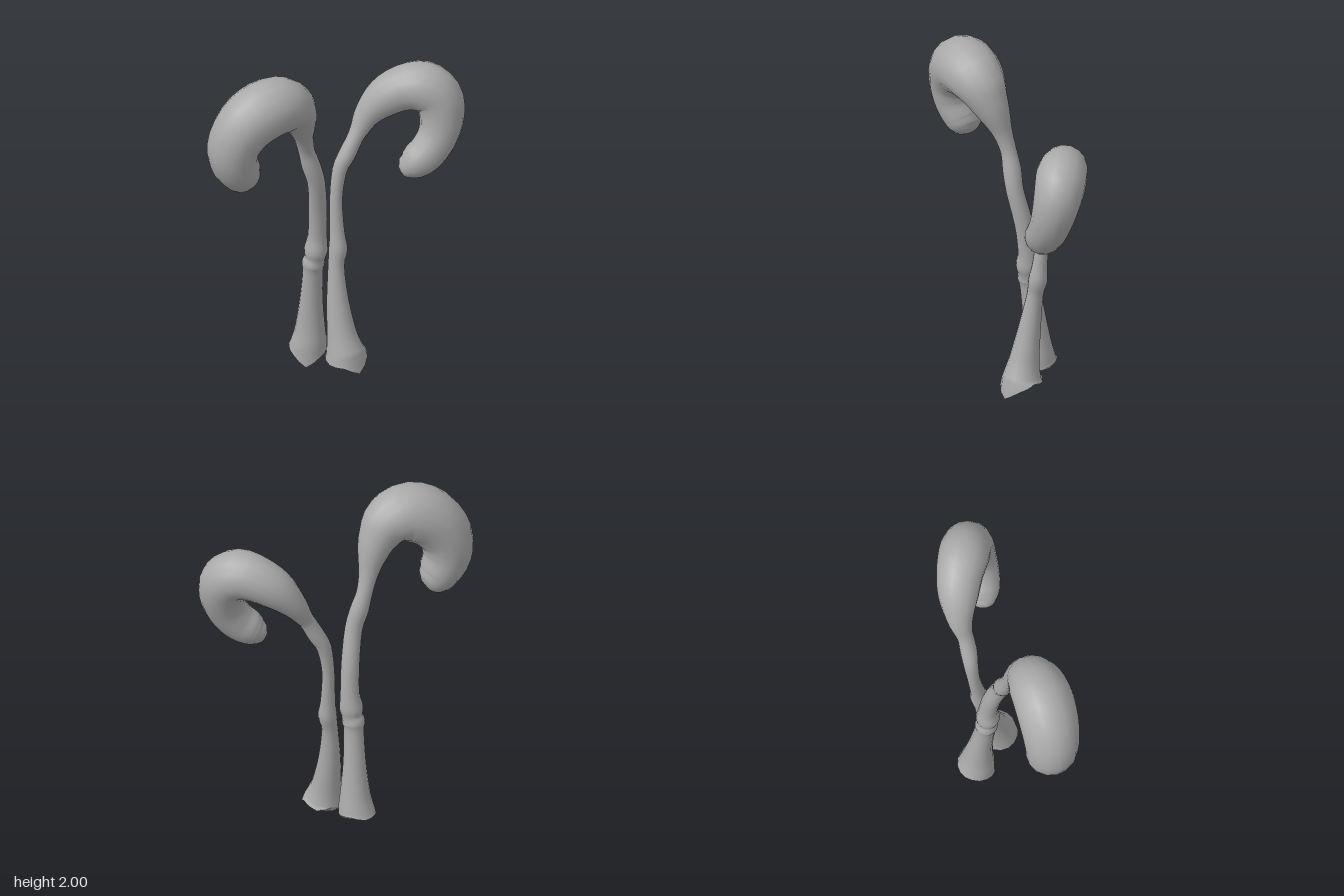
import * as THREE from 'three';

const SIDES = 16;
const STEPS = 3; // rings per control point

// Sweeps a circle of changing radius along a path of [x, y, z, radius] rows.
// rim gives the heights of the torn lower edge around the open foot.
function sweep(rows, rim) {
  const path = new THREE.CatmullRomCurve3(rows.map(([x, y, z]) => new THREE.Vector3(x, y, z)), false, 'catmullrom', 0.5);
  const size = new THREE.CatmullRomCurve3(rows.map((p) => new THREE.Vector3(p[3], 0, 0)), false, 'catmullrom', 0.5);
  const rings = (rows.length - 1) * STEPS;
  const positions = [];
  const indices = [];
  const oldTangent = new THREE.Vector3(0, 1, 0);
  const normal = new THREE.Vector3(1, 0, 0);
  const turn = new THREE.Quaternion();
  for (let i = 0; i <= rings; i++) {
    const t = i / rings;
    const centre = path.getPoint(t);
    const radius = Math.max(size.getPoint(t).x, 0.001);
    // carry the frame along without twisting
    const tangent = i === 0 ? oldTangent.clone() : path.getTangent(t);
    normal.applyQuaternion(turn.setFromUnitVectors(oldTangent, tangent));
    oldTangent.copy(tangent);
    const side = new THREE.Vector3().crossVectors(tangent, normal);
    for (let j = 0; j < SIDES; j++) {
      const a = (j / SIDES) * Math.PI * 2;
      const p = centre.clone()
        .addScaledVector(normal, Math.cos(a) * radius)
        .addScaledVector(side, Math.sin(a) * radius);
      if (i === 0) {
        const k = j * rim.length / SIDES;
        const k0 = Math.floor(k);
        p.y = THREE.MathUtils.lerp(rim[k0], rim[(k0 + 1) % rim.length], k - k0);
      }
      positions.push(p.x, p.y, p.z);
      if (i < rings) {
        const q = i * SIDES + j;
        const r = i * SIDES + (j + 1) % SIDES;
        indices.push(q, r, q + SIDES, r, r + SIDES, q + SIDES);
      }
    }
  }
  const geometry = new THREE.BufferGeometry();
  geometry.setAttribute('position', new THREE.Float32BufferAttribute(positions, 3));
  geometry.setIndex(indices);
  geometry.computeVertexNormals();
  return geometry;
}

export function createModel() {
  const group = new THREE.Group();
  group.name = 'curledStalks';
  const grey = new THREE.MeshStandardMaterial({ color: 0xaaaaaa, side: THREE.DoubleSide });
  grey.name = 'grey';

  const add = (name, rows, rim) => {
    const mesh = new THREE.Mesh(sweep(rows, rim), grey);
    mesh.name = name;
    group.add(mesh);
  };

  // Taller stalk, leaning forward, with a thick curled head
  add('tallStalk', [
    [-0.17, 0.07, -0.15, 0.105],
    [-0.16, 0.14, -0.145, 0.095],
    [-0.155, 0.22, -0.14, 0.082],
    [-0.148, 0.4, -0.125, 0.064],
    [-0.138, 0.59, -0.105, 0.057],
    [-0.135, 0.64, -0.1, 0.064],
    [-0.125, 0.68, -0.098, 0.058],
    [-0.12, 0.73, -0.095, 0.066],
    [-0.112, 0.82, -0.095, 0.054],
    [-0.108, 1.0, -0.073, 0.052],
    [-0.112, 1.2, -0.025, 0.05],
    [-0.14, 1.32, -0.005, 0.053],
    [-0.162, 1.42, 0.015, 0.046],
    [-0.175, 1.53, 0.05, 0.056],
    [-0.185, 1.63, 0.09, 0.085],
    [-0.205, 1.72, 0.135, 0.115],
    [-0.25, 1.8, 0.19, 0.15],
    [-0.34, 1.83, 0.26, 0.168],
    [-0.45, 1.775, 0.32, 0.166],
    [-0.525, 1.66, 0.35, 0.152],
    [-0.535, 1.54, 0.345, 0.138],
    [-0.5, 1.44, 0.31, 0.118],
    [-0.47, 1.39, 0.28, 0.092],
    [-0.45, 1.365, 0.262, 0.05],
    [-0.445, 1.36, 0.258, 0.001],
  ], [0.07, 0.1, 0.11, 0.09, 0.09, 0.06, 0, 0.05]);

  // Shorter stalk, leaning back, curling the other way
  add('shortStalk', [
    [0.048, 0.07, -0.08, 0.118],
    [0.034, 0.14, -0.085, 0.098],
    [0.02, 0.22, -0.095, 0.082],
    [-0.003, 0.4, -0.12, 0.062],
    [-0.013, 0.6, -0.148, 0.046],
    [-0.004, 0.7, -0.165, 0.053],
    [-0.01, 0.8, -0.175, 0.042],
    [-0.018, 1.0, -0.195, 0.036],
    [0, 1.17, -0.215, 0.042],
    [0.04, 1.26, -0.235, 0.048],
    [0.08, 1.35, -0.26, 0.046],
    [0.105, 1.4, -0.28, 0.054],
    [0.15, 1.485, -0.31, 0.078],
    [0.235, 1.575, -0.335, 0.112],
    [0.34, 1.635, -0.35, 0.13],
    [0.45, 1.65, -0.35, 0.142],
    [0.53, 1.595, -0.345, 0.138],
    [0.555, 1.49, -0.325, 0.126],
    [0.538, 1.38, -0.295, 0.113],
    [0.485, 1.29, -0.262, 0.107],
    [0.425, 1.24, -0.24, 0.1],
    [0.375, 1.215, -0.228, 0.078],
    [0.338, 1.207, -0.222, 0.045],
    [0.325, 1.205, -0.22, 0.001],
  ], [0.07, 0.11, 0.08, 0.1, 0.07, 0.05, 0.05, 0.005]);

  return group;
}
